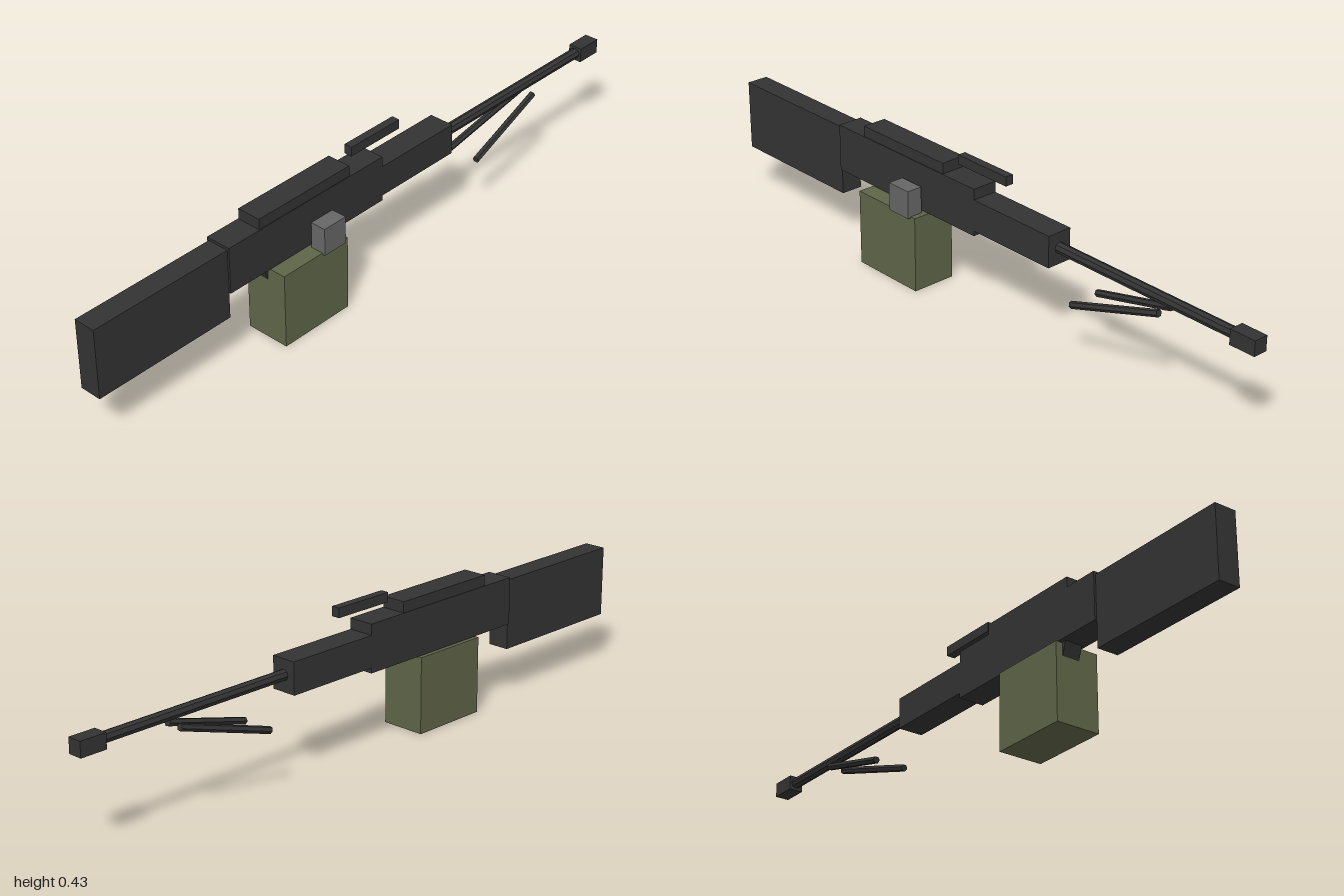
import * as THREE from 'three';

export function createModel() {
  const model = new THREE.Group();
  model.name = 'model';
  const mat = (name, color) => {
    const m = new THREE.MeshStandardMaterial({ color, flatShading: true });
    m.name = name;
    return m;
  };
  const darkMetal = mat('dark metal', 0x333333);
  const olive = mat('olive', 0x5f6548);
  const grey = mat('grey', 0x666666);

  const add = (name, geometry, material) => {
    const mesh = new THREE.Mesh(geometry, material);
    mesh.name = name;
    model.add(mesh);
    return mesh;
  };
  // Box given by its min and max on each axis
  const box = (name, x0, x1, y0, y1, z0, z1, material = darkMetal) => {
    const mesh = add(name, new THREE.BoxGeometry(x1 - x0, y1 - y0, z1 - z0), material);
    mesh.position.set((x0 + x1) / 2, (y0 + y1) / 2, (z0 + z1) / 2);
    return mesh;
  };
  // Straight rod between two points
  const rod = (name, a, b, radius, sides) => {
    const dir = b.clone().sub(a);
    const mesh = add(name, new THREE.CylinderGeometry(radius, radius, dir.length(), sides), darkMetal);
    mesh.position.copy(a).add(b).multiplyScalar(0.5);
    mesh.quaternion.setFromUnitVectors(new THREE.Vector3(0, 1, 0), dir.normalize());
    return mesh;
  };
  const V = (x, y, z) => new THREE.Vector3(x, y, z);
  const mid = -0.019; // centre plane of the long body

  // Body
  box('stock', -1, -0.555, 0.15, 0.36, mid - 0.033, mid + 0.033);
  box('receiver', -0.555, 0.02, 0.228, 0.368, mid - 0.039, mid + 0.039);
  box('topCover', -0.445, -0.108, 0.368, 0.4, mid - 0.037, mid + 0.037);
  box('handguard', 0.02, 0.31, 0.243, 0.336, mid - 0.0385, mid + 0.0385);
  box('carryHandle', -0.073, 0.117, 0.402, 0.43, mid - 0.0125, mid + 0.0125);

  // Slanted grip, mostly hidden behind the ammunition box
  const grip = box('grip', -0.04, 0.04, -0.07, 0.07, mid - 0.027, mid + 0.027);
  grip.position.set(-0.37, 0.195, mid);
  grip.rotation.z = 0.32;

  // Barrel and muzzle
  rod('barrel', V(0.3, 0.291, mid), V(0.93, 0.291, mid), 0.016, 8);
  box('muzzle', 0.92, 1, 0.268, 0.312, mid - 0.0215, mid + 0.0215);

  // Ammunition box and side feed block
  box('ammoBox', -0.41, -0.17, 0, 0.226, -0.067, 0.068, olive);
  box('feedBlock', -0.267, -0.187, 0.222, 0.305, 0.029, 0.077, grey);

  // Folded support legs
  for (const s of [1, -1]) {
    rod(s > 0 ? 'frontLeg' : 'backLeg',
      V(0.69, 0.26, mid + s * 0.023), V(0.407, 0.178, mid + s * 0.048), 0.0105, 6);
  }
  return model;
}
